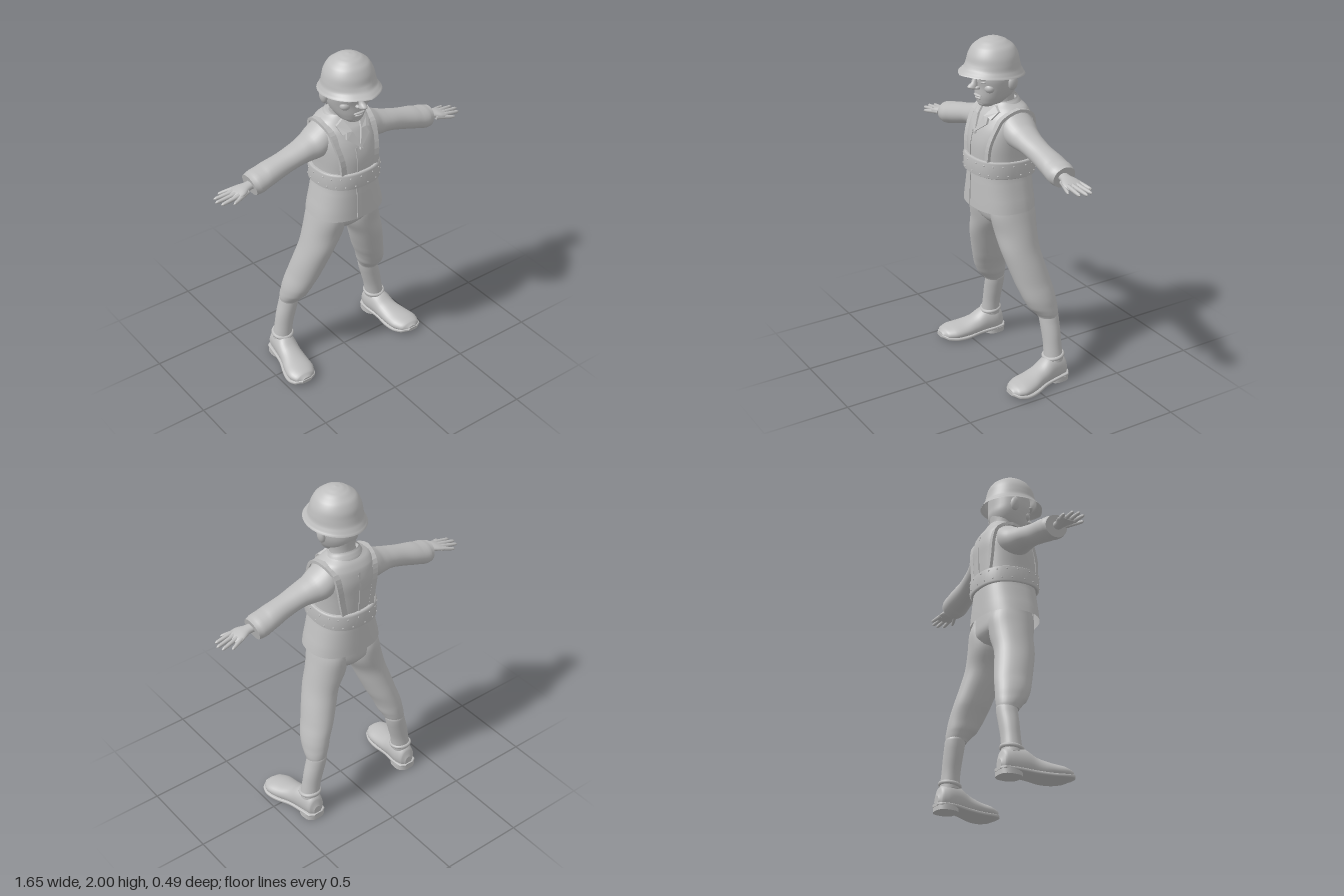
import * as THREE from 'three';

const grey = new THREE.MeshStandardMaterial({ color: 0xbdbdbd, side: THREE.DoubleSide });
grey.name = 'plain grey';

// Ring = [t, u, v, ru, rv]; smooth in u, v and radii, linear in t
function ringBetween(rings, i, f) {
  const p = k => rings[Math.min(Math.max(k, 0), rings.length - 1)];
  const [a, b, c, d] = [p(i - 1), p(i), p(i + 1), p(i + 2)];
  return b.map((_, k) => k === 0 ? b[0] + (c[0] - b[0]) * f : 0.5 * (2 * b[k] + (c[k] - a[k]) * f
    + (2 * a[k] - 5 * b[k] + 4 * c[k] - d[k]) * f * f + (3 * b[k] - a[k] - 3 * c[k] + d[k]) * f * f * f));
}
const sgnPow = (c, e) => Math.sign(c) * Math.pow(Math.abs(c), 2 / e);

// Skin of superellipse cross-sections along an axis
function loft(axis, rings, { n = 32, sub = 4, e = 2, start = true, end = true, rule } = {}) {
  const all = [];
  for (let i = 0; i < rings.length - 1; i++)
    for (let s = 0; s < sub; s++) all.push(ringBetween(rings, i, s / sub));
  all.push(rings[rings.length - 1]);
  const pos = [], idx = [];
  const place = (t, u, v) => {
    const p = axis === 'y' ? new THREE.Vector3(u, t, v)
      : axis === 'x' ? new THREE.Vector3(t, u, v) : new THREE.Vector3(u, v, t);
    if (rule) rule(p);
    pos.push(p.x, p.y, p.z);
  };
  const addRing = r => {
    for (let j = 0; j < n; j++) {
      const a = j / n * Math.PI * 2;
      place(r[0], r[1] + r[3] * sgnPow(Math.cos(a), e), r[2] + r[4] * sgnPow(Math.sin(a), e));
    }
  };
  const flip = (axis === 'y') !== (rings[rings.length - 1][0] < rings[0][0]);
  const tri = (a, b, c) => flip ? idx.push(a, c, b) : idx.push(a, b, c);
  all.forEach(addRing);
  for (let i = 0; i < all.length - 1; i++) for (let j = 0; j < n; j++) {
    const a = i * n + j, b = i * n + (j + 1) % n;
    tri(a, b, a + n); tri(b, b + n, a + n);
  }
  const cap = (r, last) => {
    const base = pos.length / 3;
    addRing(r);
    place(r[0], r[1], r[2]);
    for (let j = 0; j < n; j++) {
      const a = base + j, b = base + (j + 1) % n;
      last ? tri(a, b, base + n) : tri(b, a, base + n);
    }
  };
  if (start) cap(all[0], false);
  if (end) cap(all[all.length - 1], true);
  const g = new THREE.BufferGeometry();
  g.setAttribute('position', new THREE.Float32BufferAttribute(pos, 3));
  g.setIndex(idx);
  g.computeVertexNormals();
  return g;
}

function mirrored(geo) {
  const g = geo.clone();
  g.scale(-1, 1, 1);
  if (g.index) {
    const a = g.index.array;
    for (let i = 0; i < a.length; i += 3) [a[i], a[i + 1]] = [a[i + 1], a[i]];
  } else for (const at of Object.values(g.attributes)) {
    const k = at.itemSize, a = at.array;
    for (let i = 0; i < a.length; i += 3 * k)
      for (let j = 0; j < k; j++) [a[i + j], a[i + k + j]] = [a[i + k + j], a[i + j]];
  }
  return g;
}

// Flat band with its width along a given direction
function strip(points, width, thick, side = new THREE.Vector3(1, 0, 0)) {
  const curve = new THREE.CatmullRomCurve3(points), n = 24, pos = [], idx = [];
  for (let i = 0; i <= n; i++) {
    const p = curve.getPoint(i / n), nor = curve.getTangent(i / n).cross(side).normalize();
    for (const [a, b] of [[-1, -1], [1, -1], [1, 1], [-1, 1]]) {
      const q = p.clone().addScaledVector(side, a * width / 2).addScaledVector(nor, b * thick / 2);
      pos.push(q.x, q.y, q.z);
    }
    if (i < n) for (let j = 0; j < 4; j++) {
      const a = i * 4 + j, b = i * 4 + (j + 1) % 4;
      idx.push(a, a + 4, b, b, a + 4, b + 4);
    }
  }
  const g = new THREE.BufferGeometry();
  g.setAttribute('position', new THREE.Float32BufferAttribute(pos, 3));
  g.setIndex(idx);
  const flat = g.toNonIndexed();
  flat.computeVertexNormals();
  return flat;
}

const ellipsoid = (x, y, z, rx, ry, rz, tilt = 0) =>
  new THREE.SphereGeometry(1, 20, 14).scale(rx, ry, rz).rotateZ(tilt).translate(x, y, z);

const torso = [[1.24, 0, 0, .17, .163], [1.33, 0, 0, .17, .168], [1.42, 0, -.003, .176, .168],
  [1.5, 0, -.015, .18, .158], [1.57, 0, -.027, .168, .132], [1.61, 0, -.035, .14, .1], [1.64, 0, -.03, .09, .075]];
const skirt = [[1.26, 0, 0, .172, .166], [1.18, 0, 0, .188, .17], [1.035, 0, 0, .222, .175]];

// Depth of the jacket surface at x, y (side +1 front, -1 back)
function jacketZ(x, y, side = 1) {
  const rings = y > 1.25 ? torso : skirt;
  let i = 0;
  while (i < rings.length - 2 && (y - rings[i + 1][0]) * (y - rings[i][0]) > 0) i++;
  const r = ringBetween(rings, i, (y - rings[i][0]) / (rings[i + 1][0] - rings[i][0]));
  return r[2] + side * r[4] * Math.pow(Math.max(0, 1 - Math.pow(Math.abs(x) / r[3], 2.4)), 1 / 2.4);
}
const onJacket = (x, y, side = 1) => new THREE.Vector3(x, y, jacketZ(x, y, side));

export function createModel() {
  const model = new THREE.Group();
  const add = (name, geo) => {
    const m = new THREE.Mesh(geo, grey);
    m.name = name;
    model.add(m);
  };
  const pair = (name, geo) => { add('left ' + name, geo); add('right ' + name, mirrored(geo)); };

  // Jacket
  add('jacket body', loft('y', torso, { n: 48, e: 2.4 }));
  add('jacket skirt', loft('y', skirt, { n: 48, e: 2.4, end: false }));
  pair('sleeve', loft('x', [[.08, 1.51, -.03, .085, .085], [.13, 1.507, -.03, .098, .1], [.18, 1.49, -.028, .088, .1],
    [.23, 1.474, -.025, .074, .086], [.3, 1.46, -.02, .062, .075], [.4, 1.432, -.02, .062, .068],
    [.5, 1.405, -.022, .065, .076], [.57, 1.385, -.022, .062, .079], [.605, 1.378, -.022, .06, .068]],
    { rule: p => { if (p.x > .54) p.x += (p.y - 1.38) * .25; } }));
  add('jacket front edge', strip([1.48, 1.4, 1.3].map(y => onJacket(-.03, y)), .01, .01));
  add('skirt front edge', strip([1.24, 1.14, 1.037].map(y => onJacket(-.032, y)), .01, .01));
  add('back seam', strip([1.56, 1.45, 1.31].map(y => onJacket(0, y, -1)), .012, .008));

  // Lapels wrapped on the chest, and the collar round the neck
  const lapel = new THREE.ExtrudeGeometry(new THREE.Shape([[-.01, 1.47], [.03, 1.57], [.055, 1.625], [.1, 1.6],
    [.09, 1.56], [.065, 1.57], [.075, 1.535]].map(p => new THREE.Vector2(...p))), { depth: .014, bevelEnabled: false });
  const lp = lapel.attributes.position;
  for (let i = 0; i < lp.count; i++) lp.setZ(i, lp.getZ(i) + jacketZ(lp.getX(i), lp.getY(i)));
  lapel.computeVertexNormals();
  pair('lapel', lapel);
  add('collar', loft('y', [[1.6, 0, -.03, .115, .092], [1.63, 0, -.028, .1, .08], [1.648, 0, -.025, .09, .072]],
    { start: false, end: false, rule: p => { p.y -= p.z * .2; } }));

  // Shoulder straps
  pair('shoulder strap', strip([onJacket(.105, 1.32), onJacket(.115, 1.42), onJacket(.13, 1.52), onJacket(.135, 1.57),
    new THREE.Vector3(.145, 1.608, -.035), onJacket(.13, 1.57, -1), onJacket(.12, 1.5, -1), onJacket(.105, 1.4, -1),
    onJacket(.09, 1.31, -1)], .035, .018));

  // Belt, tilted down at the back, with two rows of studs
  const tilt = p => { p.y += p.z * .07; };
  add('belt', loft('y', [[1.228, 0, 0, .182, .178], [1.234, 0, 0, .19, .19], [1.318, 0, 0, .19, .19],
    [1.325, 0, 0, .182, .178]], { n: 48, e: 2.4, sub: 1, rule: tilt }));
  for (let i = 0; i < 40; i++) {
    const a = (i + .5) / 40 * Math.PI * 2, p = new THREE.Vector3(.19 * sgnPow(Math.cos(a), 2.4),
      i % 2 ? 1.25 : 1.303, .19 * sgnPow(Math.sin(a), 2.4));
    tilt(p);
    add('belt stud', new THREE.SphereGeometry(.005, 8, 6).translate(p.x, p.y, p.z));
  }

  // Head
  add('neck', loft('y', [[1.58, 0, -.03, .085, .075], [1.65, 0, -.015, .075, .068], [1.74, 0, -.01, .085, .08]]));
  add('head', loft('y', [[1.622, 0, .082, .04, .036], [1.64, 0, .058, .068, .072], [1.68, 0, .035, .093, .104],
    [1.73, 0, .025, .113, .116], [1.78, 0, .03, .124, .12], [1.85, 0, .03, .125, .12]], { e: 2.15 }));
  add('nose', loft('y', [[1.79, 0, .146, .012, .012], [1.76, 0, .155, .014, .02], [1.74, 0, .168, .02, .031],
    [1.729, 0, .163, .022, .027], [1.72, 0, .145, .014, .014]], { n: 16 }));
  pair('nostril wing', ellipsoid(.02, 1.732, .148, .011, .01, .016));
  pair('brow', ellipsoid(.05, 1.792, .134, .042, .012, .02, .22));
  pair('eye', ellipsoid(.047, 1.767, .13, .024, .009, .013, .1));
  pair('cheek', ellipsoid(.065, 1.735, .1, .034, .028, .03));
  add('upper lip', ellipsoid(0, 1.684, .136, .036, .008, .014));
  add('lower lip', ellipsoid(0, 1.67, .133, .028, .008, .014));
  add('chin', ellipsoid(0, 1.64, .105, .04, .022, .025));
  pair('ear', ellipsoid(.133, 1.765, -.005, .018, .042, .028, -.15));

  // Helmet with flared, slightly peaked brim
  add('helmet', loft('y', [[1.797, 0, .047, .168, .188], [1.81, 0, .046, .16, .178], [1.835, 0, .042, .149, .158],
    [1.87, 0, .04, .144, .146], [1.91, 0, .039, .134, .136], [1.95, 0, .039, .111, .113], [1.98, 0, .04, .072, .074],
    [1.994, 0, .04, .038, .04], [2, 0, .04, .004, .004]], { n: 48, start: false, rule: p => {
      const low = Math.max(0, (1.87 - p.y) / .073);
      p.y += low * p.z * .07;
      if (p.z > 0) p.z += low * .012 * Math.max(0, 1 - Math.abs(p.x) / .06);
    } }));

  // Hands
  pair('palm', loft('x', [[.58, 1.385, -.016, .026, .03], [.63, 1.383, -.012, .021, .032], [.67, 1.378, -.01, .019, .05],
    [.705, 1.37, -.013, .015, .056], [.73, 1.363, -.014, .01, .05]], { n: 20 }));
  for (const [name, x0, z0, x1, z1] of [['little finger', .69, -.052, .77, -.077], ['ring finger', .7, -.029, .814, -.048],
    ['middle finger', .7, -.002, .825, -.014], ['index finger', .7, .024, .81, .022], ['thumb', .64, .02, .755, .055]]) {
    const at = (f, r) => [x0 + (x1 - x0) * f, 1.372 - .016 * f, z0 + (z1 - z0) * f, r, r];
    pair(name, loft('x', [at(0, .013), at(.5, .0115), at(.9, .009), at(1, .003)], { n: 12 }));
  }

  // Trousers
  add('trouser seat', loft('y', [[1.1, 0, -.01, .18, .14], [1.02, 0, -.018, .2, .137], [.96, 0, -.025, .18, .128],
    [.915, 0, -.03, .1, .09], [.895, 0, -.03, .045, .04]], { n: 40 }));
  pair('trouser leg', loft('y', [[1.08, .105, -.012, .095, .12], [1, .113, -.02, .103, .135], [.9, .128, -.028, .112, .125],
    [.8, .167, -.033, .098, .117], [.7, .2, -.055, .094, .112], [.6, .232, -.08, .087, .108], [.52, .262, -.1, .08, .1],
    [.46, .276, -.118, .074, .088], [.42, .287, -.137, .065, .07], [.395, .291, -.145, .058, .06]]));

  // Socks with a rolled ankle
  pair('sock', loft('y', [[.42, .288, -.15, .054, .052], [.395, .29, -.152, .059, .057], [.3, .314, -.153, .06, .054],
    [.22, .332, -.153, .056, .052], [.13, .345, -.153, .058, .056]]));
  pair('shoe opening', new THREE.TorusGeometry(.055, .012, 10, 28).rotateX(Math.PI / 2 + .15).translate(.343, .158, -.152));

  // Shoes, turned slightly outward
  pair('shoe upper', loft('z', [[-.232, .347, .06, .025, .03], [-.215, .347, .075, .05, .065], [-.17, .346, .082, .062, .085],
    [-.1, .355, .08, .067, .08], [-.04, .363, .06, .07, .062], [.03, .377, .048, .082, .05], [.1, .388, .044, .086, .042],
    [.15, .393, .04, .064, .032], [.172, .395, .036, .028, .016]],
    { rule: p => { p.y = Math.max(p.y, .022); } }));
  pair('shoe sole', loft('z', [[-.24, .348, .034, .03, .009], [-.22, .348, .033, .058, .01], [-.15, .35, .032, .068, .011],
    [-.06, .363, .025, .07, .012], [.03, .379, .016, .088, .012], [.1, .39, .018, .092, .012], [.15, .395, .025, .073, .012],
    [.178, .397, .033, .032, .01]], { e: 4 }));
  pair('shoe heel', loft('y', [[0, .348, -.173, .066, .066], [.03, .348, -.173, .066, .066]], { e: 2.6, sub: 1 }));
  return model;
}
